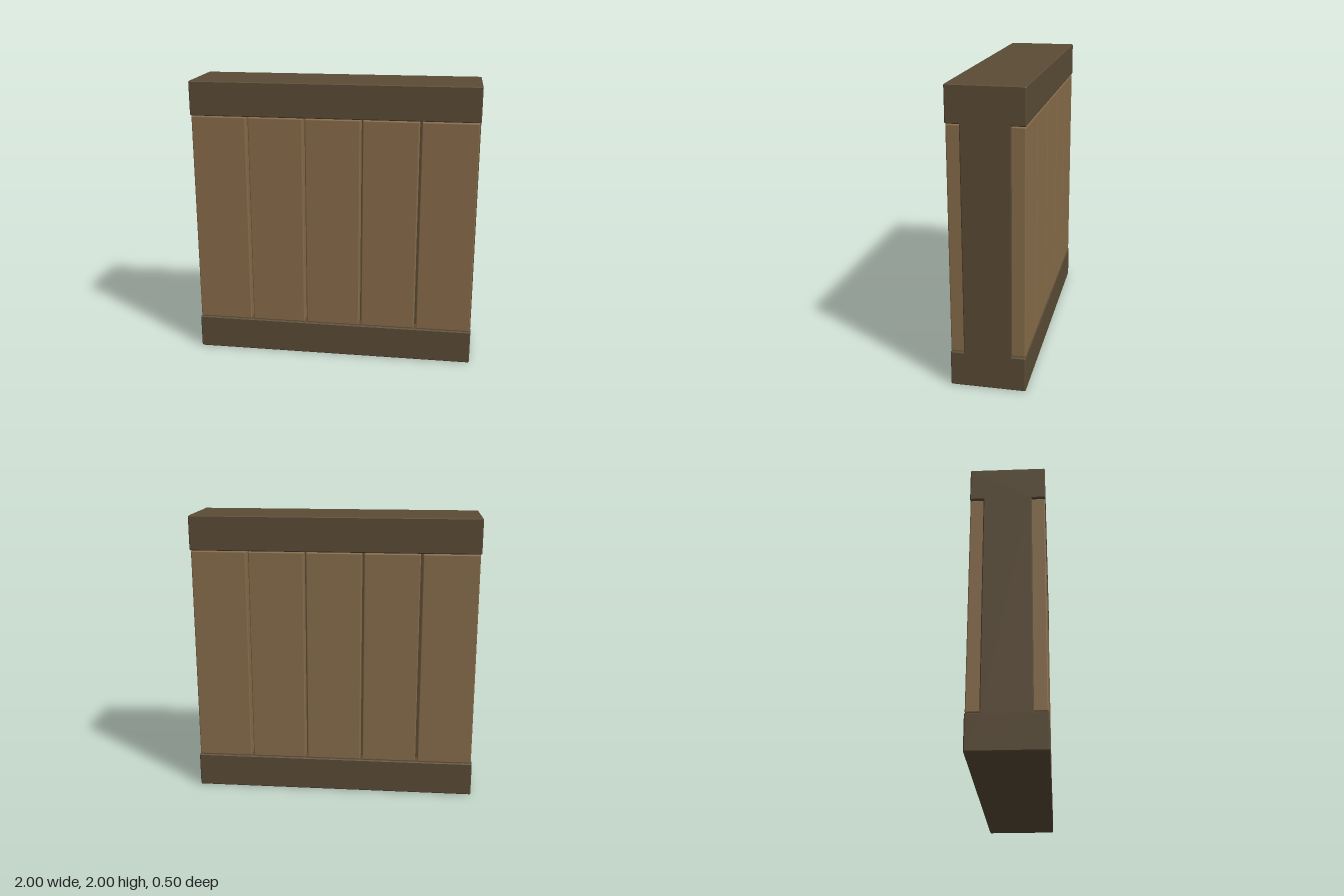
import * as THREE from 'three';
import { RoundedBoxGeometry } from 'three/addons/geometries/RoundedBoxGeometry.js';

export function createModel() {
  const group = new THREE.Group();
  const darkWood = new THREE.MeshStandardMaterial({ color: 0x5a4b35 });
  darkWood.name = 'dark wood';
  const lightWood = new THREE.MeshStandardMaterial({ color: 0x876c4a });
  lightWood.name = 'light wood';

  // I-shaped frame: bottom rail, thin core and top rail, extruded along x
  const half = 0.25, core = 0.16, rail = 0.24, c = 0.006, bevel = 0.006;
  const side = [ // +z half of the profile, bottom to top
    [half - c, 0], [half, c], [half, rail - c], [half - c, rail], [core, rail],
    [core, 2 - rail], [half - c, 2 - rail], [half, 2 - rail + c], [half, 2 - c], [half - c, 2],
  ];
  const outline = [...side, ...side.map(([z, y]) => [-z, y]).reverse()];
  const shape = new THREE.Shape(outline.map(([z, y]) => new THREE.Vector2(z, y)));
  const frameGeometry = new THREE.ExtrudeGeometry(shape, {
    depth: 2 - 2 * bevel, bevelEnabled: true, bevelSegments: 1,
    bevelThickness: bevel, bevelSize: bevel, bevelOffset: -bevel,
  });
  frameGeometry.translate(0, 0, -(1 - bevel));
  frameGeometry.rotateY(Math.PI / 2);
  const frame = new THREE.Mesh(frameGeometry, darkWood);
  frame.name = 'frame';
  group.add(frame);

  // Five upright planks on the front and on the back
  const plankGeometry = new RoundedBoxGeometry(0.384, 1.512, 0.1, 2, 0.008);
  for (const [label, sign] of [['front', 1], ['back', -1]]) {
    for (let i = 0; i < 5; i++) {
      const plank = new THREE.Mesh(plankGeometry, lightWood);
      plank.name = `${label}Plank${i + 1}`;
      plank.position.set(-0.8 + i * 0.4, 1, sign * 0.197);
      group.add(plank);
    }
  }
  return group;
}
